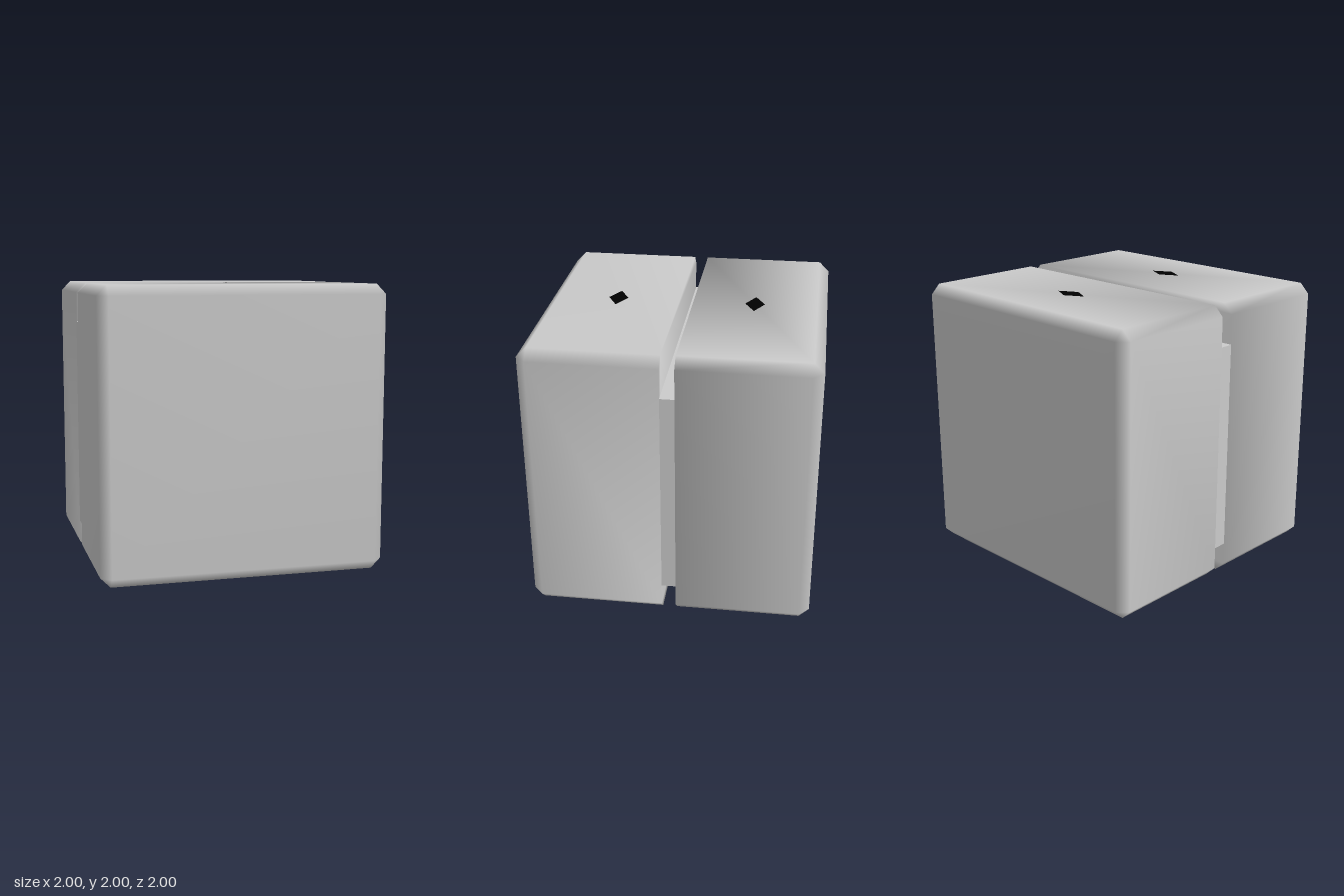
import * as THREE from 'three';
import { ConvexGeometry } from 'three/addons/geometries/ConvexGeometry.js';
import { mergeVertices } from 'three/addons/utils/BufferGeometryUtils.js';

const GAP = 0.05; // half width of the slot between the halves
const IN = 0.93; // where the chamfers begin

// Half of a chamfered cube, cut flat at z = GAP, with soft shared normals
function halfGeometry() {
  const points = [];
  for (const sx of [-1, 1]) {
    for (const sy of [-1, 1]) {
      for (const [x, y, z] of [[1, IN, GAP], [IN, 1, GAP], [1, IN, IN], [IN, 1, IN], [IN, IN, 1]]) {
        points.push(new THREE.Vector3(sx * x, sy * y, z));
      }
    }
  }
  const hull = new ConvexGeometry(points);
  hull.deleteAttribute('normal');
  const geometry = mergeVertices(hull);
  geometry.computeVertexNormals();
  return geometry;
}

// Flat diamond facing +z, laid on the top and bottom faces
function diamondGeometry() {
  const shape = new THREE.Shape();
  shape.moveTo(-0.13, 0);
  shape.lineTo(0, -0.07);
  shape.lineTo(0.13, 0);
  shape.lineTo(0, 0.07);
  shape.closePath();
  return new THREE.ShapeGeometry(shape);
}

export function createModel() {
  const group = new THREE.Group();
  const grey = new THREE.MeshStandardMaterial({ color: 0xcccccc });
  const black = new THREE.MeshStandardMaterial({ color: 0x000000 });
  const add = (name, geometry, material, x, y, z) => {
    const mesh = new THREE.Mesh(geometry, material);
    mesh.name = name;
    mesh.position.set(x, y, z);
    group.add(mesh);
    return mesh;
  };

  // Front and back halves
  const half = halfGeometry();
  add('frontHalf', half, grey, 0, 1, 0);
  add('backHalf', half, grey, 0, 1, 0).rotation.y = Math.PI;

  // Slab joining the halves inside the slot
  add('joiningSlab', new THREE.BoxGeometry(2, 1.49, 2 * GAP), grey, 0, 0.975, 0);

  // Diamond marks above and below each half
  const diamond = diamondGeometry();
  for (const [side, z] of [['front', 0.49], ['back', -0.49]]) {
    add(side + 'TopDiamond', diamond, black, 0, 2.002, z).rotation.x = -Math.PI / 2;
    add(side + 'BottomDiamond', diamond, black, 0, -0.002, z).rotation.x = Math.PI / 2;
  }
  return group;
}
